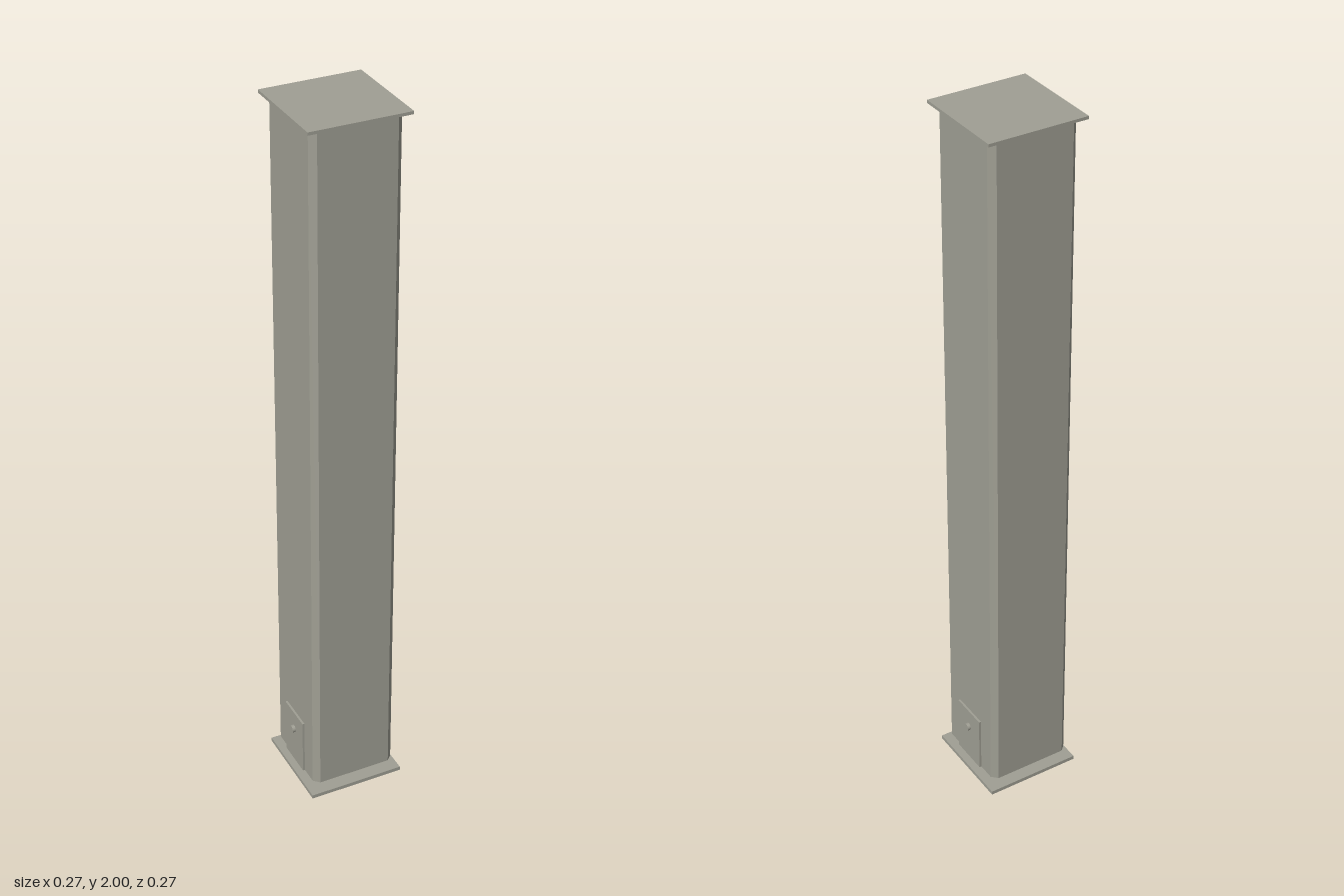
import * as THREE from 'three';

export function createModel() {
  const group = new THREE.Group();
  group.name = 'column';
  const steel = new THREE.MeshStandardMaterial({ color: 0xa09f94 });
  steel.name = 'grey steel';

  const add = (name, geometry, x = 0, y = 0, z = 0) => {
    const mesh = new THREE.Mesh(geometry, steel);
    mesh.name = name;
    mesh.position.set(x, y, z);
    group.add(mesh);
    return mesh;
  };
  const box = (name, w, y0, y1, d = w, x = 0) =>
    add(name, new THREE.BoxGeometry(w, y1 - y0, d), x, (y0 + y1) / 2);

  // Square end plates and the recessed neck
  box('basePlate', 0.272, 0, 0.011);
  box('neck', 0.176, 0.011, 0.035);
  box('topPlate', 0.272, 1.992, 2);

  // Square shaft with chamfered corners
  const h = 0.121, c = 0.016;
  const outline = new THREE.Shape([
    [h, c - h], [h, h - c], [h - c, h], [c - h, h],
    [-h, h - c], [-h, c - h], [c - h, -h], [h - c, -h],
  ].map(([x, y]) => new THREE.Vector2(x, y)));
  const shaft = new THREE.ExtrudeGeometry(outline, { depth: 1.957, bevelEnabled: false });
  shaft.rotateX(-Math.PI / 2);
  add('shaft', shaft, 0, 0.035, 0);

  // Access cover with its bolt on both sides
  for (const side of [1, -1]) {
    const prefix = side > 0 ? 'left' : 'right';
    box(prefix + 'Cover', 0.007, 0.035, 0.202, 0.11, side * 0.1235);
    const bolt = new THREE.CylinderGeometry(0.011, 0.011, 0.01, 12);
    bolt.rotateZ(Math.PI / 2);
    add(prefix + 'Bolt', bolt, side * 0.131, 0.147, 0);
  }
  return group;
}
